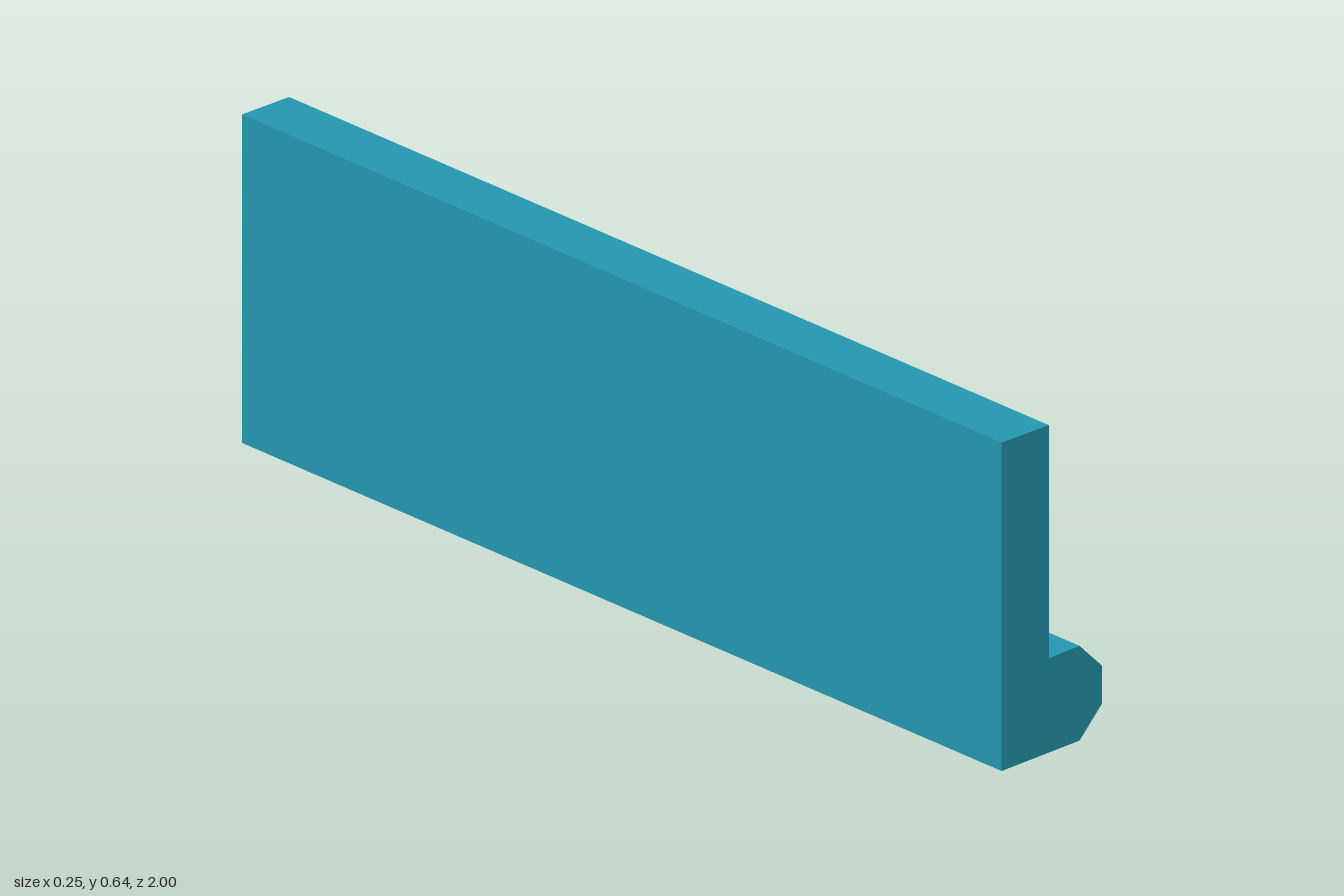
import * as THREE from 'three';

const BACK = -0.123, FRONT = -0.008, RECESS = -0.083;
const BASE_TOP = 0.187, TOP = 0.641;
const OPEN = { z: 0.95, y0: 0.235, y1: 0.598 };

function polygon(points) {
  return new THREE.Shape(points.map(([x, y]) => new THREE.Vector2(x, y)));
}

function rectangle(halfWidth, y0, y1) {
  return [[-halfWidth, y0], [halfWidth, y0], [halfWidth, y1], [-halfWidth, y1]];
}

export function createModel() {
  const teal = new THREE.MeshStandardMaterial({ color: 0x2599b2 });
  teal.name = 'teal casing';
  const grey = new THREE.MeshStandardMaterial({ color: 0xd3cecb });
  grey.name = 'warm grey panel';

  const model = new THREE.Group();
  model.name = 'longDisplayCase';
  const add = (name, geometry, material) => {
    const mesh = new THREE.Mesh(geometry, material);
    mesh.name = name;
    model.add(mesh);
    return mesh;
  };

  // Base with a chamfered ledge, running the whole length
  const ledge = polygon([
    [BACK, 0], [0.067, 0.003], [0.122, 0.059], [0.122, 0.133],
    [0.067, 0.188], [FRONT, 0.186], [FRONT, BASE_TOP], [BACK, BASE_TOP],
  ]);
  const base = new THREE.ExtrudeGeometry(ledge, { depth: 2, bevelEnabled: false });
  base.translate(0, 0, -1);
  add('baseLedge', base, teal);

  // Upright frame with a rectangular opening
  const outline = polygon(rectangle(1, BASE_TOP, TOP));
  outline.holes.push(polygon(rectangle(OPEN.z, OPEN.y0, OPEN.y1)));
  const frame = new THREE.ExtrudeGeometry(outline, { depth: FRONT - BACK, bevelEnabled: false });
  frame.rotateY(Math.PI / 2).translate(BACK, 0, 0);
  add('frame', frame, teal);

  // Back wall closing the opening, with the recessed panel on it
  const height = OPEN.y1 - OPEN.y0;
  const midY = (OPEN.y0 + OPEN.y1) / 2;
  const wallDepth = RECESS - 0.004 - BACK;
  add('backWall', new THREE.BoxGeometry(wallDepth, height, OPEN.z * 2), teal)
    .position.set(BACK + wallDepth / 2, midY, 0);
  add('recessedPanel', new THREE.BoxGeometry(0.004, height, OPEN.z * 2), grey)
    .position.set(RECESS - 0.002, midY, 0);

  return model;
}
